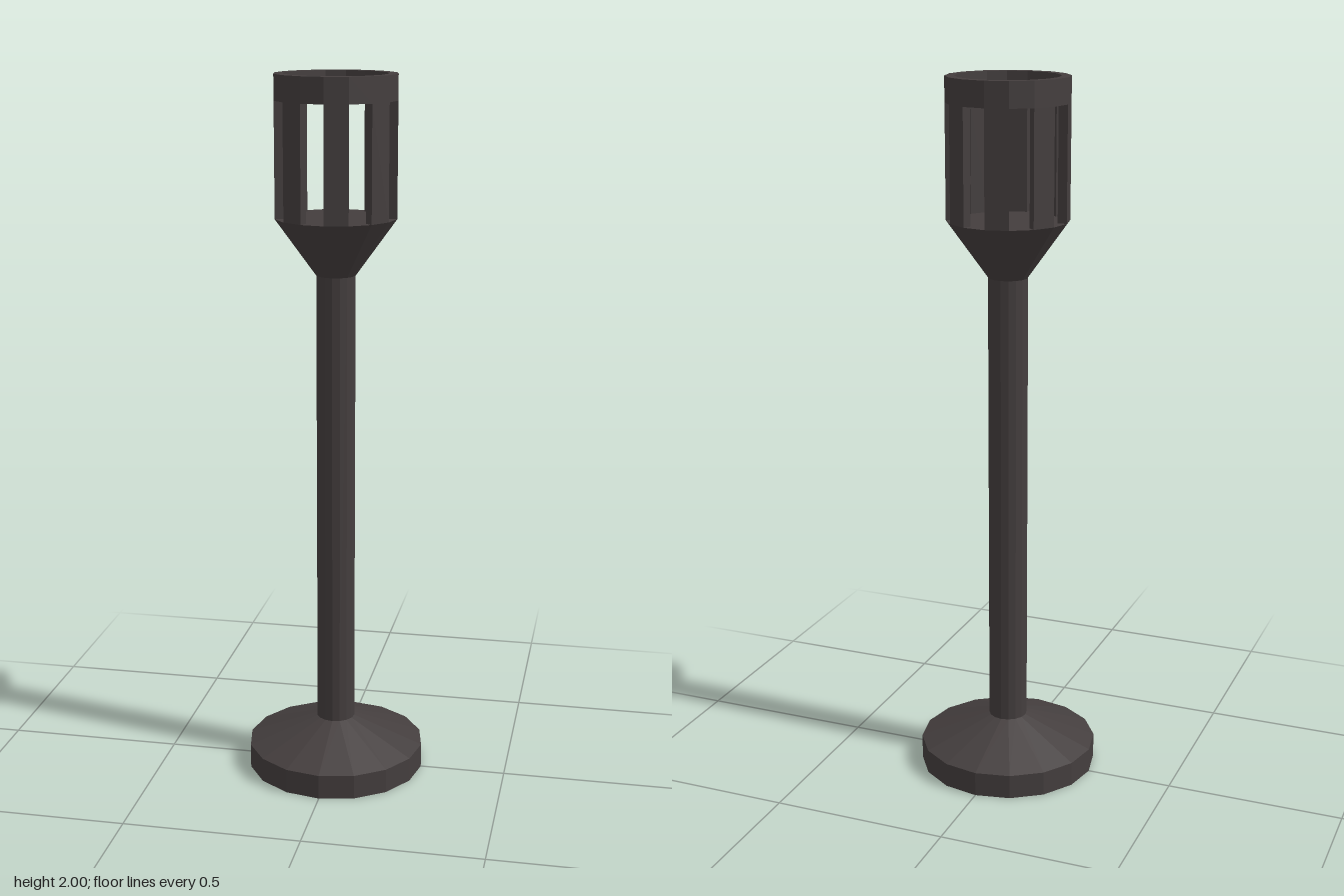
import * as THREE from 'three';

const SIDES = 16;
const STEP = (Math.PI * 2) / SIDES;
const OUTER = 0.169, INNER = 0.143; // cup wall radii
const STEM = 0.055;

// point at angle a from the front, laid flat for an upright extrusion
const polar = (r, a) => new THREE.Vector2(r * Math.sin(a), -r * Math.cos(a));

const polygon = (r) => Array.from({ length: SIDES }, (_, i) => polar(r, i * STEP));

export function createModel() {
  const group = new THREE.Group();
  const darkMetal = new THREE.MeshStandardMaterial({
    color: 0x443e3e, flatShading: true, side: THREE.DoubleSide,
  });
  darkMetal.name = 'darkMetal';

  const add = (name, geometry, parent = group) => {
    const mesh = new THREE.Mesh(geometry, darkMetal);
    mesh.name = name;
    parent.add(mesh);
    return mesh;
  };

  // open section of a round body between two heights
  const section = (name, y0, y1, r0, r1) => {
    const geometry = new THREE.CylinderGeometry(r1, r0, y1 - y0, SIDES, 1, true);
    add(name, geometry.translate(0, (y0 + y1) / 2, 0));
  };

  // flat outline raised from y0 to y1
  const raise = (shape, y0, y1) =>
    new THREE.ExtrudeGeometry(shape, { depth: y1 - y0, bevelEnabled: false })
      .rotateX(-Math.PI / 2)
      .translate(0, y0, 0);

  // hollow foot, stem and flared neck
  section('footRim', 0, 0.07, 0.255, 0.255);
  section('footSlope', 0.07, 0.147, 0.255, STEM);
  section('stem', 0.147, 1.457, STEM, STEM);
  section('cupNeck', 1.457, 1.615, STEM, OUTER);

  // floor of the cup
  add('cupFloor', new THREE.CircleGeometry(OUTER, SIDES).rotateX(-Math.PI / 2).translate(0, 1.615, 0));

  // slats fill every other side of the cup
  const slats = new THREE.Group();
  slats.name = 'cupSlats';
  group.add(slats);
  for (let i = 0; i < SIDES; i += 2) {
    const a = i * STEP, b = a + STEP;
    const outline = new THREE.Shape([polar(INNER, a), polar(OUTER, a), polar(OUTER, b), polar(INNER, b)]);
    add('slat', raise(outline, 1.615, 1.93), slats);
  }

  // solid ring around the top
  const ring = new THREE.Shape(polygon(OUTER));
  ring.holes.push(new THREE.Path(polygon(INNER)));
  add('cupRing', raise(ring, 1.93, 2));

  return group;
}
